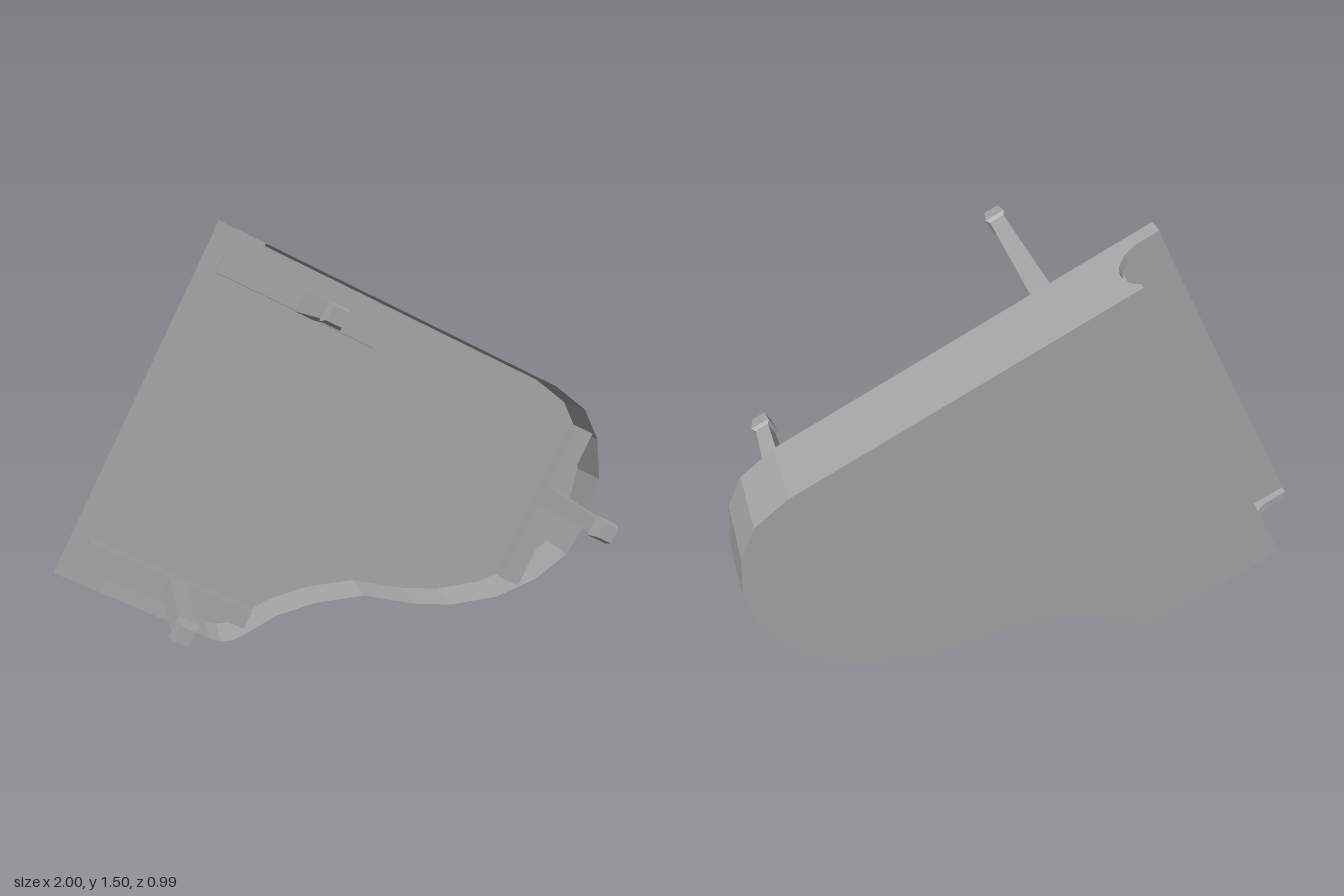
import * as THREE from 'three';

const grey = new THREE.MeshStandardMaterial({ color: 0xa6a6a6, flatShading: true, side: THREE.DoubleSide });
grey.name = 'grey';

// Local frame: x = depth away from the keyboard, y = along the keyboard, z = towards the feet
const WIDTH = 1.356, HEIGHT = 0.25, CHEEK = 0.03, BACK = 0.178;

// Curved case outline, from the straight long side round to the short side
const outline = [
  [1.36, 1.356], [1.499, 1.326], [1.592, 1.249], [1.668, 1.119], [1.698, 0.967], [1.684, 0.815],
  [1.616, 0.681], [1.508, 0.561], [1.365, 0.467], [1.235, 0.414], [1.047, 0.366], [0.894, 0.269],
  [0.786, 0.171], [0.714, 0.068], [0.679, 0.026], [0.644, 0.006], [0.602, 0],
];

// Side profile of the key cheeks (depth, height) with the scooped cutout
const cheekProfile = [
  [0, 0], [0, -0.055], [0.085, -0.055], [0.13, -0.072], [0.163, -0.105], [0.176, -0.145],
  [0.172, -0.185], [0.155, -0.215], [0.14, -0.228], [0.14, -HEIGHT], [BACK, -HEIGHT], [BACK, 0],
];

const toShape = (pts) => new THREE.Shape(pts.map(([x, y]) => new THREE.Vector2(x, y)));

function add(parent, name, geometry, x = 0, y = 0, z = 0) {
  const mesh = new THREE.Mesh(geometry, grey);
  mesh.name = name;
  mesh.position.set(x, y, z);
  parent.add(mesh);
  return mesh;
}

// Box given by its limits on each axis
function addBox(parent, name, [x0, x1], [y0, y1], [z0, z1]) {
  return add(parent, name, new THREE.BoxGeometry(x1 - x0, y1 - y0, z1 - z0),
    (x0 + x1) / 2, (y0 + y1) / 2, (z0 + z1) / 2);
}

// Thin wall that follows a path through the full case height
function wallGeometry(path) {
  const pos = [];
  for (let i = 0; i < path.length - 1; i++) {
    const [ax, ay] = path[i], [bx, by] = path[i + 1];
    pos.push(ax, ay, 0, bx, by, 0, bx, by, -HEIGHT);
    pos.push(ax, ay, 0, bx, by, -HEIGHT, ax, ay, -HEIGHT);
  }
  const g = new THREE.BufferGeometry();
  g.setAttribute('position', new THREE.Float32BufferAttribute(pos, 3));
  g.computeVertexNormals();
  return g;
}

// Square tapered section along z, from side length a at z0 to b at z1
function addTaper(parent, name, a, b, z0, z1) {
  const g = new THREE.CylinderGeometry(b * Math.SQRT1_2, a * Math.SQRT1_2, z1 - z0, 4);
  g.rotateY(Math.PI / 4).rotateX(Math.PI / 2);
  add(parent, name, g, 0, 0, (z0 + z1) / 2);
}

function addLeg(parent, x, y) {
  const leg = new THREE.Group();
  leg.name = 'leg';
  leg.position.set(x, y, 0);
  addTaper(leg, 'legShaft', 0.074, 0.052, 0.07, 0.6);
  addTaper(leg, 'footCollar', 0.054, 0.072, 0.6, 0.613);
  addTaper(leg, 'foot', 0.072, 0.052, 0.613, 0.673);
  parent.add(leg);
}

export function createModel() {
  const model = new THREE.Group();
  model.name = 'grandPiano';

  // The whole instrument lies on its side, slightly tilted
  const piano = new THREE.Group();
  piano.name = 'instrument';
  piano.position.set(-1, 0.285, -0.257);
  piano.rotation.set(0, -0.0484, -0.459, 'ZYX');
  model.add(piano);

  // Hollow case: rim and lid, open underneath
  add(piano, 'rim', wallGeometry([[BACK, WIDTH], ...outline, [BACK, 0]]));
  const lid = toShape([[0.14, WIDTH], ...outline, [0.14, 0]]);
  add(piano, 'lid', new THREE.ExtrudeGeometry(lid, { depth: 0.012, bevelEnabled: false }), 0, 0, -HEIGHT);

  // Keyboard end
  for (const y of [CHEEK, WIDTH]) {
    const g = new THREE.ExtrudeGeometry(toShape(cheekProfile), { depth: CHEEK, bevelEnabled: false });
    add(piano, 'keyCheek', g.rotateX(Math.PI / 2), 0, y, 0);
  }
  const span = [CHEEK, WIDTH - CHEEK];
  addBox(piano, 'keyBed', [0, BACK], span, [-0.03, 0]);
  addBox(piano, 'fallboard', [0.164, BACK], span, [-HEIGHT + 0.01, -0.03]);

  // Cross bars carrying the legs
  addBox(piano, 'crossBar', [0.06, 0.681], [1.19, 1.258], [0, 0.08]);
  addBox(piano, 'crossBar', [0.06, 0.681], [0.098, 0.165], [0, 0.08]);
  addBox(piano, 'tailBar', [1.467, 1.535], [0.641, 1.257], [0, 0.08]);

  addLeg(piano, 0.397, 1.224);
  addLeg(piano, 0.397, 0.131);
  addLeg(piano, 1.5, 0.977);

  return model;
}
